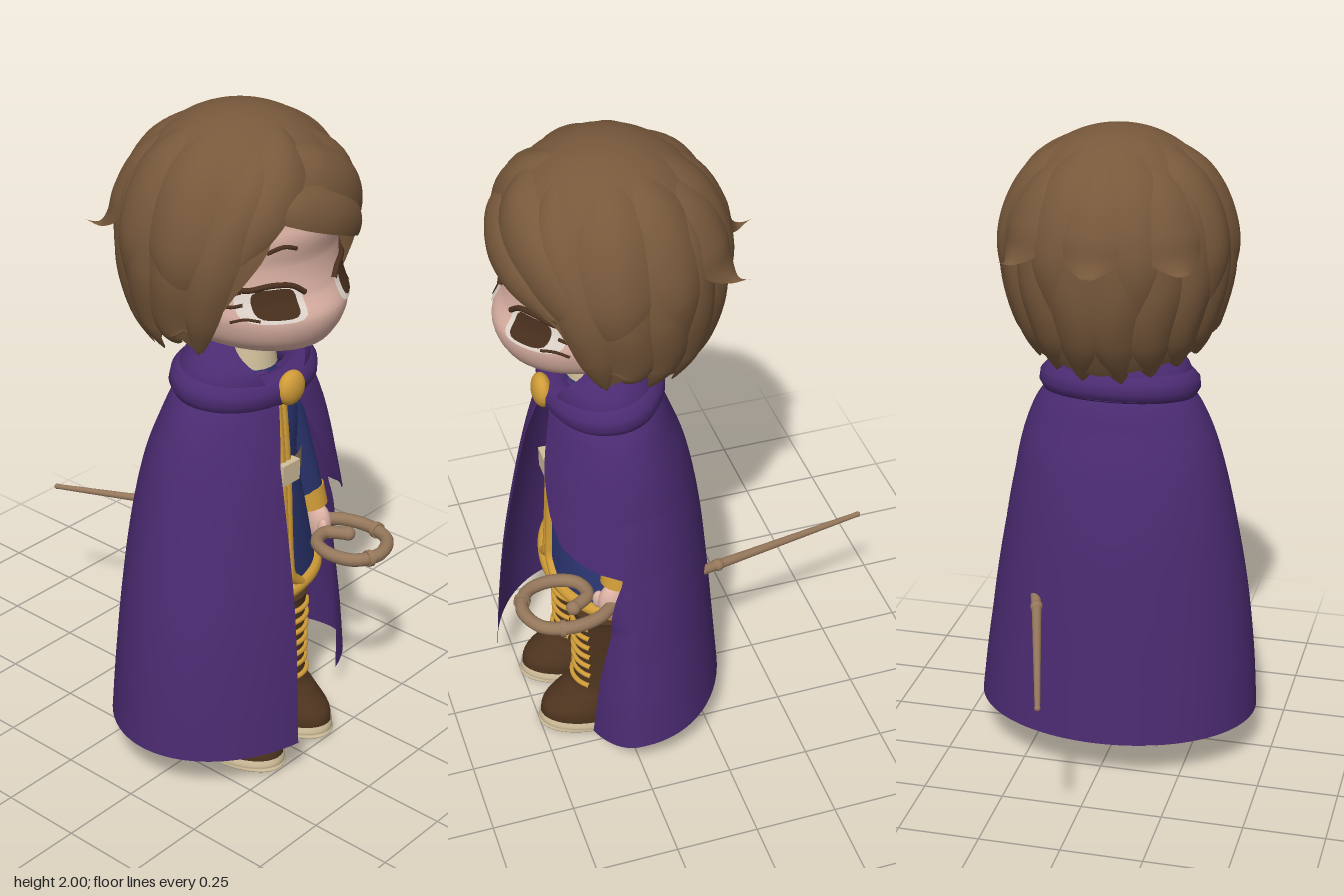
import * as THREE from 'three';
import { ParametricGeometry } from 'three/addons/geometries/ParametricGeometry.js';

const mat = (name, color, double) => {
  const m = new THREE.MeshStandardMaterial({ color });
  m.name = name;
  if (double) m.side = THREE.DoubleSide;
  return m;
};
const M = {
  hair: mat('brown hair', 0x77583b, true), skin: mat('skin', 0xdcb2a4), cloak: mat('purple cloth', 0x4b2b72, true),
  tunic: mat('navy cloth', 0x2b3570, true), gold: mat('gold', 0xd09c38), boot: mat('boot leather', 0x4c331e),
  cream: mat('cream', 0xd2c09c), wood: mat('wood', 0x96785c), dark: mat('dark brown', 0x4a301e), white: mat('eye white', 0xeadfd6),
};
const V = (x, y, z) => new THREE.Vector3(x, y, z);
const RAD = Math.PI / 180;

// Smooth interpolation through a list of rows, t in 0..1
function sample(rows, t) {
  const n = rows.length - 1, i = Math.min(n - 1, Math.floor(t * n)), f = t * n - i;
  const [p, q, r, s] = [rows[Math.max(0, i - 1)], rows[i], rows[i + 1], rows[Math.min(n, i + 2)]];
  return q.map((b, k) => {
    const m0 = (r[k] - p[k]) / 2, m1 = (s[k] - b) / 2, d = r[k] - b;
    return b + f * (m0 + f * (3 * d - 2 * m0 - m1 + f * (m0 + m1 - 2 * d)));
  });
}
// Linear lookup in [key, value] pairs with rising keys
function lookup(table, x) {
  for (let i = 1; i < table.length; i++) {
    const [a, va] = table[i - 1], [b, vb] = table[i];
    if (x <= b) return va + (vb - va) * Math.max(0, (x - a) / (b - a));
  }
  return table[table.length - 1][1];
}
// Elliptical ring point; row = [y, halfWidth, zBack, zFront], phi from the front towards +x
const ringPoint = ([y, a, zb, zf], phi, target = V()) =>
  target.set(a * Math.sin(phi), y, (zb + zf) / 2 + (zf - zb) / 2 * Math.cos(phi));

const surface = (fn, nu, nv) => new ParametricGeometry(fn, nu, nv);
const loft = (rows, nv = 32) => surface((u, v, p) => ringPoint(sample(rows, v), 2 * Math.PI * u, p), 48, nv);
const tube = (pts, r, closed = false, n = 48) =>
  new THREE.TubeGeometry(new THREE.CatmullRomCurve3(pts, closed), n, r, 10, closed);

function add(parent, name, geometry, material, x = 0, y = 0, z = 0) {
  const mesh = new THREE.Mesh(geometry, material);
  mesh.name = name;
  mesh.position.set(x, y, z);
  parent.add(mesh);
  return mesh;
}
const ball = (parent, name, material, x, y, z, sx, sy, sz) =>
  add(parent, name, new THREE.SphereGeometry(1, 24, 16), material, x, y, z).scale.set(sx, sy, sz);
// Tapered cylinder between two points
function rod(parent, name, a, b, ra, rb, material) {
  const d = b.clone().sub(a);
  const m = add(parent, name, new THREE.CylinderGeometry(rb, ra, d.length(), 20), material);
  m.position.copy(a).addScaledVector(d, 0.5);
  m.quaternion.setFromUnitVectors(V(0, 1, 0), d.normalize());
}

const HEAD = [[1.352, 0.001, 0.3, 0.301], [1.362, 0.14, 0.12, 0.47], [1.4, 0.22, 0.03, 0.52], [1.47, 0.255, 0, 0.54],
  [1.54, 0.265, -0.02, 0.505], [1.62, 0.27, -0.03, 0.49], [1.72, 0.26, -0.03, 0.5], [1.84, 0.2, 0, 0.44], [1.9, 0.001, 0.22, 0.221]];

// Point on the face at a given x and y, lifted forward
function facePoint(x, y, lift) {
  let lo = 0, hi = 1;
  for (let i = 0; i < 24; i++) {
    const mid = (lo + hi) / 2;
    if (sample(HEAD, mid)[0] < y) lo = mid; else hi = mid;
  }
  const row = sample(HEAD, lo);
  return V(x, y, ringPoint(row, Math.asin(THREE.MathUtils.clamp(x / row[1], -0.97, 0.97))).z + lift);
}
// Thin rounded-square plate that follows the face
function facePlate(cx, cy, w, h, lift) {
  const g = new THREE.RingGeometry(0.001, 1, 28, 5), p = g.attributes.position;
  for (let i = 0; i < p.count; i++) {
    const x = p.getX(i), y = p.getY(i), k = Math.hypot(x, y) / Math.pow(x ** 4 + y ** 4, 0.25);
    const q = facePoint(cx + x * k * w, cy + y * k * h, lift);
    p.setXYZ(i, q.x, q.y, q.z);
  }
  g.computeVertexNormals();
  return g;
}

function buildHead(root) {
  const head = new THREE.Group();
  head.name = 'head';
  root.add(head);
  add(head, 'face', loft(HEAD, 64), M.skin);
  for (const s of [-1, 1]) {
    const line = (name, pts, r) => add(head, name, tube(pts.map(([x, y]) => facePoint(s * x, y, 0.009)), r, false, 20), M.dark);
    ball(head, 'ear', M.skin, s * 0.27, 1.465, 0.245, 0.03, 0.055, 0.04);
    add(head, 'eyeWhite', facePlate(s * 0.147, 1.525, 0.077, 0.047, 0.006), M.white);
    add(head, 'iris', facePlate(s * 0.145, 1.529, 0.053, 0.04, 0.0095), M.dark);
    line('upperLash', [[0.062, 1.548], [0.095, 1.572], [0.15, 1.58], [0.205, 1.57], [0.25, 1.59]], 0.008);
    for (const [y0, x1, y1] of [[1.565, 0.255, 1.555], [1.58, 0.235, 1.615], [1.53, 0.25, 1.525]])
      line('lashSpike', [[0.212, y0], [(0.212 + x1) / 2, (y0 + y1) / 2 - 0.005], [x1, y1]], 0.005);
    line('lowerLash', [[0.19, 1.488], [0.215, 1.492], [0.235, 1.48]], 0.004);
    line('eyebrow', [[0.09, 1.68], [0.125, 1.69], [0.165, 1.675]], 0.006);
  }
}

// Hair volume: azimuth in degrees, height and extra radius
function hairPoint(deg, y, extra = 0) {
  const d = (y - 1.64) / (y > 1.64 ? 0.36 : 0.47), a = deg * RAD;
  const r = Math.pow(Math.max(0, 1 - d * d), y > 1.64 ? 0.47 : 0.5);
  return V((0.333 * r + extra) * Math.sin(a), y, 0.215 + (0.33 * r + extra) * Math.cos(a));
}
const HEM = [[-180, 1.31], [-120, 1.36], [-98, 1.38], [-88, 1.47], [-82, 1.41], [-74, 1.38], [-68, 1.41], [-59, 1.5], [-50, 1.58],
  [-37, 1.68], [-28, 1.8], [-15, 1.755], [0, 1.71], [35, 1.65], [50, 1.6], [59, 1.5], [68, 1.41], [74, 1.38], [82, 1.41],
  [88, 1.47], [98, 1.38], [120, 1.36], [180, 1.31]];

// Tapered lock laid over the hair volume along [azimuth, height, extra radius] points.
// A flicked lock keeps its side direction level and narrows to a thin tip.
function lock(path, w, h, flick = false) {
  const curve = new THREE.CatmullRomCurve3(path.map(p => hairPoint(...p)));
  const a = path[0][0] * RAD, level = V(-Math.cos(a), 0, Math.sin(a));
  return surface((u, v, target) => {
    const P = curve.getPoint(v), T = curve.getTangent(v), out = P.clone().sub(V(0, 1.62, 0.215));
    const S = flick ? level : T.clone().cross(out).normalize(), N = S.clone().cross(T), k = 2 * u - 1;
    const arch = Math.max(0, Math.sin(Math.PI * Math.pow(v, flick ? 0.65 : 0.85)));
    const size = Math.pow(arch, flick ? 2 : 0.65), width = w * size;
    target.copy(P).addScaledVector(S, k * width).addScaledVector(N, size * h * (1 - k * k) - (k * width) ** 2 / 0.6);
  }, 10, 28);
}

function buildHair(root) {
  const hair = new THREE.Group();
  hair.name = 'hair';
  root.add(hair);
  add(hair, 'hairCap', surface((u, v, p) => {
    const deg = -180 + 360 * u, hem = lookup(HEM, deg);
    p.copy(hairPoint(deg, hem + (2 - hem) * Math.sin(v * Math.PI / 2)));
  }, 120, 28), M.hair);
  const put = (path, w, h = 0.02, flick = false) => add(hair, 'hairLock', lock(path, w, h, flick), M.hair);
  const flicked = deg => put([[deg, 1.985], [deg, 1.86], [deg, 1.75, 0.012], [deg, 1.68, 0.025], [deg, 1.65, 0.055], [deg, 1.662, 0.1]], 0.12, 0.02, true);
  for (const s of [-1, 1]) {
    // Long under layer around the sides and nape
    for (const [deg, tip] of [[84, 1.4], [104, 1.34], [124, 1.32], [145, 1.3], [167, 1.28]])
      put([[s * deg, 1.96], [s * deg, 1.8], [s * deg, 1.6], [s * (deg + 3), 1.42], [s * (deg - 3), tip]], 0.085);
    // Short top layer
    for (const [deg, tip] of [[80, 1.5], [110, 1.46], [158, 1.44]])
      put([[s * deg, 1.99], [s * deg, 1.87], [s * deg, 1.68, 0.01], [s * (deg + 4), tip, 0.004]], 0.1);
    flicked(s * 139);
    // Face framing locks
    put([[s * 15, 1.97], [s * 44, 1.85], [s * 61, 1.66], [s * 68, 1.49], [s * 73, 1.36]], 0.068);
  }
  flicked(180);
  // Swept fringe
  put([[-34, 1.79], [-16, 1.8], [8, 1.765], [30, 1.7], [51, 1.61]], 0.075, 0.018);
  put([[-10, 1.93], [10, 1.88], [35, 1.81], [57, 1.68], [68, 1.53]], 0.09, 0.025);
  put([[-5, 1.97], [-22, 1.9], [-39, 1.78], [-53, 1.64]], 0.075, 0.02);
}

// Front edges of the cloak in degrees by height; the left one is thrown back over the arm
const EDGE_LEFT = [[0.12, 43], [0.35, 50], [0.57, 62], [0.7, 76], [0.735, 80], [0.76, 62], [0.8, 42], [0.88, 31], [1, 20], [1.2, 8]];
const EDGE_RIGHT = [[0.14, 15.5], [0.6, 14.5], [1, 15], [1.2, 8]];
const CLOAK = [[0.135, 0.445, -0.095, 0.585], [0.33, 0.433, -0.08, 0.57], [0.55, 0.409, -0.063, 0.545], [0.78, 0.37, -0.04, 0.505],
  [0.97, 0.327, -0.005, 0.465], [1.1, 0.282, 0.04, 0.428], [1.19, 0.228, 0.075, 0.395], [1.25, 0.15, 0.12, 0.34]];
// The left side hangs closer to the body at mid height
const LEFT_WIDTH = [[0.14, 1], [0.44, 0.96], [0.73, 0.945], [0.92, 0.95], [1.15, 1]];

function buildCloak(root) {
  const cloak = new THREE.Group();
  cloak.name = 'cloak';
  root.add(cloak);
  add(cloak, 'cape', surface((u, v, p) => {
    const row = sample(CLOAK, v), a = lookup(EDGE_LEFT, row[0]), b = 360 - lookup(EDGE_RIGHT, row[0]), deg = a + (b - a) * u;
    ringPoint(row, deg * RAD, p);
    if (p.x > 0) p.x *= lookup(LEFT_WIDTH, row[0]);
    // The lower left edge hangs inwards and a little lower
    const tuck = Math.max(0, (88 - deg) / 45) * lookup([[0.55, 1], [0.74, 0]], row[0]);
    p.z -= 0.115 * tuck;
    p.y -= 0.03 * tuck * (1 - v);
  }, 90, 90), M.cloak);
  const roll = [];
  for (let i = 0; i < 16; i++) {
    const a = i / 16 * Math.PI * 2;
    roll.push(ringPoint([1.215 - 0.015 * Math.cos(a), 0.2, 0.11, 0.372], a));
  }
  add(cloak, 'hoodRoll', tube(roll, 0.05, true, 64), M.cloak);
  // Upper hood folds, opening wider towards the top
  const hood = [[1.2, 0.235, 0.07, 0.405], [1.27, 0.215, 0.085, 0.4], [1.32, 0.178, 0.11, 0.365], [1.375, 0.13, 0.13, 0.33]];
  add(cloak, 'hoodCollar', surface((u, v, p) => {
    const open = 12 + 48 * v;
    ringPoint(sample(hood, v), (open + (360 - 2 * open) * u) * RAD, p);
  }, 48, 16), M.cloak);
  ball(cloak, 'clasp', M.gold, 0, 1.21, 0.415, 0.05, 0.052, 0.03);
}

const TUNIC = [[0.535, 0.285, 0.03, 0.42], [0.7, 0.235, 0.05, 0.412], [0.94, 0.165, 0.08, 0.395], [1.1, 0.165, 0.09, 0.385], [1.27, 0.08, 0.16, 0.33]];

function buildBody(root) {
  add(root, 'tunic', loft(TUNIC), M.tunic);
  const hem = [];
  for (let i = 0; i < 20; i++) hem.push(ringPoint(TUNIC[0], i / 20 * Math.PI * 2));
  add(root, 'hemTrim', tube(hem, 0.021, true, 72), M.gold);
  for (const s of [-1, 1]) add(root, 'frontTrim', tube([V(s * 0.011, 1.2, 0.365), V(s * 0.011, 0.95, 0.393), V(s * 0.011, 0.65, 0.413),
    V(s * 0.018, 0.59, 0.417), V(s * 0.065, 0.543, 0.416)], 0.017), M.gold);
  add(root, 'belt', loft([[0.91, 0.182, 0.067, 0.408], [0.94, 0.18, 0.07, 0.408], [0.97, 0.178, 0.07, 0.405]], 4), M.wood);
  add(root, 'buckle', new THREE.BoxGeometry(0.075, 0.065, 0.03), M.cream, 0, 0.94, 0.41);
  rod(root, 'neck', V(0, 1.2, 0.25), V(0, 1.4, 0.25), 0.06, 0.055, M.skin);
  rod(root, 'neckBand', V(0, 1.25, 0.26), V(0, 1.32, 0.26), 0.08, 0.072, M.cream);

  // Arms
  for (const s of [-1, 1]) {
    ball(root, 'shoulder', M.tunic, s * 0.16, 1.1, 0.23, 0.065, 0.065, 0.065);
    rod(root, 'sleeve', V(s * 0.165, 1.11, 0.23), V(s * 0.27, 0.72, 0.27), 0.058, 0.05, M.tunic);
    rod(root, 'cuff', V(s * 0.27, 0.735, 0.268), V(s * 0.277, 0.67, 0.28), 0.053, 0.053, M.gold);
    ball(root, 'hand', M.skin, s * 0.29, 0.61, 0.3, 0.033, 0.065, 0.045);
    ball(root, 'thumb', M.skin, s * 0.268, 0.61, 0.338, 0.015, 0.03, 0.018);
  }
}

const SOLE = [[0, 0.001, 0.32, 0.321], [0.004, 0.095, 0.155, 0.487], [0.022, 0.108, 0.143, 0.5], [0.045, 0.105, 0.147, 0.496]];
const BOOT = [[0.035, 0.103, 0.15, 0.495], [0.075, 0.105, 0.15, 0.485], [0.12, 0.1, 0.158, 0.43], [0.17, 0.093, 0.168, 0.385],
  [0.3, 0.093, 0.17, 0.375], [0.42, 0.099, 0.165, 0.375], [0.448, 0.099, 0.165, 0.375], [0.452, 0.05, 0.2, 0.33]];

function buildLegs(root) {
  for (const s of [-1, 1]) {
    const leg = new THREE.Group();
    leg.name = s > 0 ? 'leftLeg' : 'rightLeg';
    leg.position.x = s * 0.115;
    root.add(leg);
    rod(leg, 'thigh', V(0, 0.43, 0.27), V(0, 0.65, 0.25), 0.058, 0.065, M.skin);
    add(leg, 'boot', loft(BOOT, 40), M.boot);
    add(leg, 'sole', loft(SOLE, 18), M.cream);
    for (let i = 0; i < 7; i++) {
      const arc = [];
      for (let k = -3; k <= 3; k++) arc.push(ringPoint([0.175 + i * 0.039, 0.098, 0.165, i ? 0.38 : 0.387], k * 15 * RAD));
      add(leg, 'lace', tube(arc, 0.008, false, 16), M.gold);
    }
  }
}

function buildStaff(root) {
  const staff = new THREE.Group();
  staff.name = 'staff';
  root.add(staff);
  const tip = V(0.04, 0.51, -0.58), joint = V(0.187, 0.565, -0.06), grip = V(0.305, 0.612, 0.3);
  rod(staff, 'shaftTip', tip, joint, 0.008, 0.015, M.wood);
  ball(staff, 'tipKnob', M.wood, tip.x, tip.y, tip.z, 0.009, 0.009, 0.009);
  ball(staff, 'shaftKnob', M.wood, joint.x, joint.y, joint.z, 0.019, 0.019, 0.022);
  rod(staff, 'shaft', joint, grip, 0.015, 0.018, M.wood);
  // Crook curling in the horizontal plane
  const pts = [[0.305, 0.3], [0.35, 0.36], [0.365, 0.45], [0.335, 0.53], [0.25, 0.565], [0.175, 0.53], [0.155, 0.45], [0.185, 0.38], [0.245, 0.365], [0.287, 0.42]];
  const crook = pts.map(([x, z]) => V(x, 0.615, z));
  add(staff, 'crook', tube(crook, 0.02, false, 80), M.wood);
  ball(staff, 'crookEnd', M.wood, 0.287, 0.615, 0.42, 0.022, 0.022, 0.022);
  const curve = new THREE.CatmullRomCurve3(crook);
  for (const t of [0.26, 0.53]) {
    const p = curve.getPointAt(t), d = curve.getTangentAt(t).multiplyScalar(0.008);
    rod(staff, 'crookBand', p.clone().sub(d), p.clone().add(d), 0.025, 0.025, M.wood);
  }
}

export function createModel() {
  const root = new THREE.Group();
  root.name = 'cloakedTraveller';
  for (const build of [buildHead, buildHair, buildCloak, buildBody, buildLegs, buildStaff]) build(root);
  return root;
}
